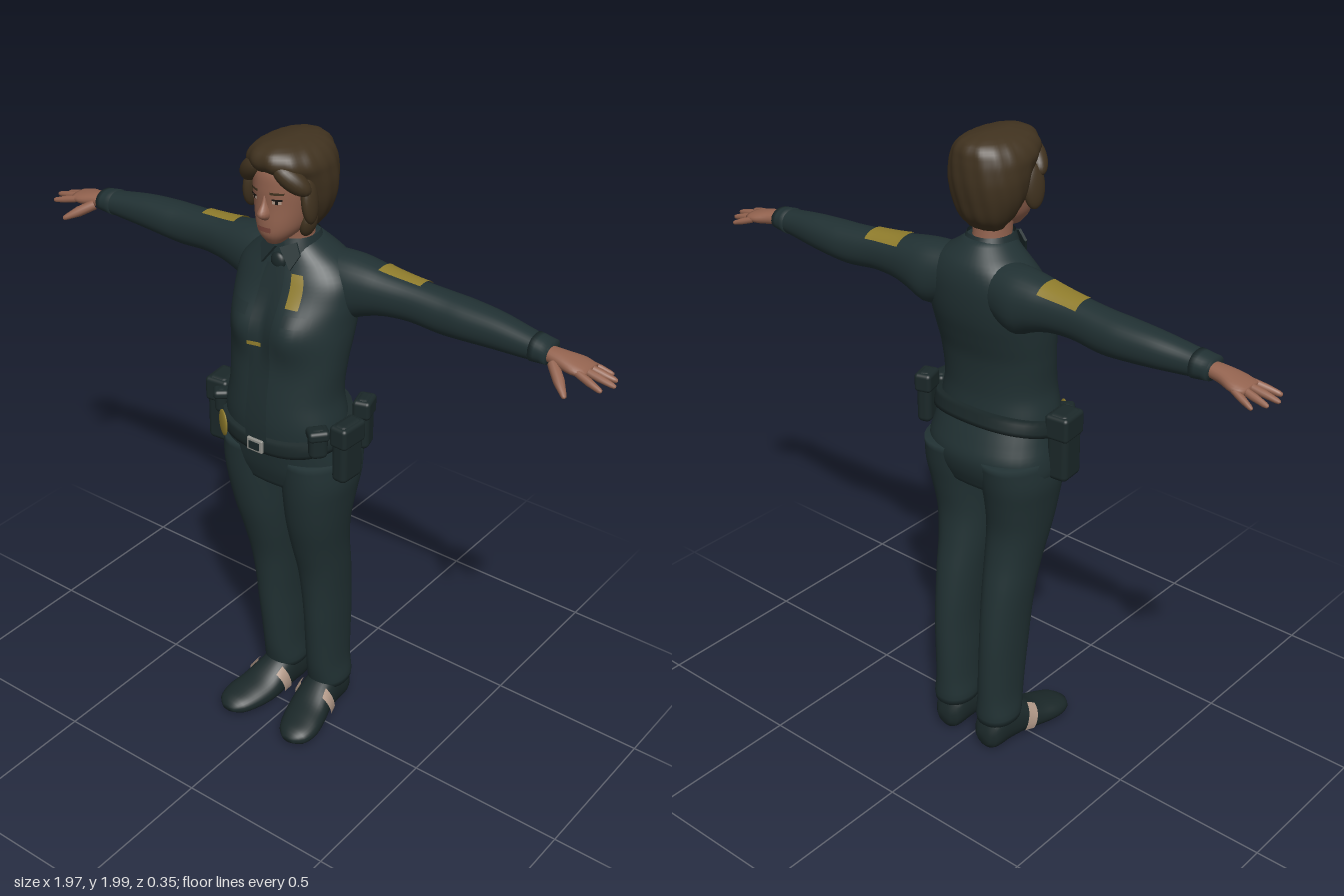
import * as THREE from 'three';
import { mergeGeometries } from 'three/addons/utils/BufferGeometryUtils.js';
import { RoundedBoxGeometry } from 'three/addons/geometries/RoundedBoxGeometry.js';

const mat = (name, color, side = THREE.FrontSide) => {
  const m = new THREE.MeshStandardMaterial({ color, side });
  m.name = name;
  return m;
};
const RAD = Math.PI / 180;

// Smooth (Hermite) value of the section list at t; section = [t, aMin, aMax, bMin, bMax]
function sampleSections(s, t) {
  let i = 0;
  while (i < s.length - 2 && t > s[i + 1][0]) i++;
  const slope = (k, c) => {
    const p = s[Math.max(k - 1, 0)], q = s[Math.min(k + 1, s.length - 1)];
    return (q[c] - p[c]) / (q[0] - p[0]);
  };
  const h = s[i + 1][0] - s[i][0], x = (t - s[i][0]) / h, x2 = x * x, x3 = x2 * x;
  return [1, 2, 3, 4].map((c) => (2 * x3 - 3 * x2 + 1) * s[i][c] + (x3 - 2 * x2 + x) * h * slope(i, c)
    + (3 * x2 - 2 * x3) * s[i + 1][c] + (x3 - x2) * h * slope(i + 1, c));
}

// Skin over rounded sections along an axis; a smaller t or angle range gives a fitted patch
function loft(s, { axis = 'y', t0 = s[0][0], t1 = s[s.length - 1][0], a0 = 0, a1 = 360, off = 0,
  nu = 32, nv = 30, n = 2.2, deform = null } = {}) {
  const closed = a1 - a0 >= 360, cols = closed ? nu : nu + 1, pos = [], idx = [], p = new THREE.Vector3();
  const put = (t, a, b) => {
    if (axis === 'y') p.set(a, t, b);
    else if (axis === 'x') p.set(t, b, a);
    else p.set(b, a, t);
    if (deform) deform(p);
    pos.push(p.x, p.y, p.z);
  };
  const pw = (v) => Math.sign(v) * Math.abs(v) ** (2 / n);
  for (let j = 0; j <= nv; j++) {
    const t = t0 + (t1 - t0) * j / nv, [l, r, d, u] = sampleSections(s, t);
    for (let i = 0; i < cols; i++) {
      const th = (a0 + (a1 - a0) * i / nu) * RAD;
      put(t, (l + r) / 2 + ((r - l) / 2 + off) * pw(Math.cos(th)), (d + u) / 2 + ((u - d) / 2 + off) * pw(Math.sin(th)));
    }
  }
  for (let j = 0; j < nv; j++) for (let i = 0; i < nu; i++) {
    const k = (i + 1) % cols, a = j * cols + i, b = j * cols + k;
    idx.push(a, a + cols, b, a + cols, b + cols, b);
  }
  if (closed) [t0, t1].forEach((t, e) => {
    const [l, r, d, u] = sampleSections(s, t), c = pos.length / 3, base = e * nv * cols;
    put(t, (l + r) / 2, (d + u) / 2);
    for (let i = 0; i < nu; i++) {
      const a = base + i, b = base + (i + 1) % cols;
      idx.push(c, e ? b : a, e ? a : b);
    }
  });
  const g = new THREE.BufferGeometry();
  g.setAttribute('position', new THREE.Float32BufferAttribute(pos, 3));
  g.setIndex(idx);
  g.computeVertexNormals();
  return g;
}

// Copy reflected to the other side, with corner order kept outward
function mirrored(g) {
  const m = g.clone().scale(-1, 1, 1);
  if (!m.index) m.setIndex([...Array(m.attributes.position.count).keys()]);
  const a = m.index.array;
  for (let i = 0; i < a.length; i += 3) [a[i + 1], a[i + 2]] = [a[i + 2], a[i + 1]];
  return m;
}

// Tapered finger with a round tip
function finger(p, q, r0, r1) {
  const a = new THREE.Vector3(...p), d = new THREE.Vector3(...q).sub(a), L = d.length();
  const prof = [[r0, 0], [r0, L * 0.5], [r1, L * 0.88], [r1 * 0.7, L * 0.97], [0, L]];
  return new THREE.LatheGeometry(prof.map((v) => new THREE.Vector2(...v)), 10)
    .applyQuaternion(new THREE.Quaternion().setFromUnitVectors(new THREE.Vector3(0, 1, 0), d.normalize()))
    .translate(a.x, a.y, a.z);
}

const blob = (x, y, z, rx, ry, rz, rotY = 0, rotZ = 0) =>
  new THREE.SphereGeometry(1, 20, 14).scale(rx, ry, rz).rotateZ(rotZ).rotateY(rotY).translate(x, y, z);

const symmetric = (rows) => rows.map(([y, w, d, u]) => [y, -w, w, d, u]);

export function createModel() {
  const root = new THREE.Group();
  const cloth = mat('uniform cloth', 0x213133), leather = mat('dark leather', 0x1b2829);
  const trim = mat('cloth trim', 0x1f2e30, THREE.DoubleSide), gold = mat('gold', 0x8f7c2c, THREE.DoubleSide);
  const skin = mat('skin', 0x93634f), hair = mat('hair', 0x40321f, THREE.DoubleSide);
  const lip = mat('lips', 0x7a463b, THREE.DoubleSide), sock = mat('pale strap', 0xb39a89, THREE.DoubleSide);
  const silver = mat('silver', 0x92928c), eye = mat('eye dark', 0x1a1512, THREE.DoubleSide);
  const add = (name, g, m) => {
    const mesh = new THREE.Mesh(g, m);
    mesh.name = name;
    root.add(mesh);
  };
  const both = (name, g, m) => {
    add(name + 'Left', g, m);
    add(name + 'Right', mirrored(g), m);
  };

  // Shirt, with the chest shaped by a smooth bump
  const torso = symmetric([[1.1, 0.196, -0.125, 0.15], [1.17, 0.192, -0.122, 0.153], [1.25, 0.178, -0.115, 0.146],
    [1.35, 0.184, -0.122, 0.13], [1.42, 0.19, -0.14, 0.118], [1.48, 0.193, -0.156, 0.105], [1.54, 0.195, -0.164, 0.088],
    [1.6, 0.185, -0.164, 0.068], [1.645, 0.145, -0.152, 0.05], [1.675, 0.1, -0.13, 0.042], [1.705, 0.06, -0.1, 0.036]]);
  const chest = (p) => {
    if (p.z > 0) p.z += 0.036 * Math.exp(-((Math.abs(p.x) - 0.085) ** 2) / 0.005 - (p.y - 1.46) ** 2 / 0.006);
  };
  const onShirt = (t0, t1, a0, a1, off) => loft(torso, { t0, t1, a0, a1, off, nu: 8, nv: 24, deform: chest });
  add('shirt', loft(torso, { nu: 48, nv: 50, deform: chest }), cloth);
  add('tie', onShirt(1.12, 1.64, 81, 99, 0.013), trim);
  add('tieKnot', blob(0, 1.647, 0.055, 0.024, 0.026, 0.014), leather);
  add('tieClip', onShirt(1.415, 1.427, 89, 99, 0.018), gold);
  add('chestBadge', onShirt(1.537, 1.625, 63, 75, 0.007), gold);
  both('pocketFlap', onShirt(1.49, 1.52, 48, 74, 0.004), trim);

  // Collar band and its two points
  const collar = symmetric([[1.655, 0.088, -0.125, 0.055], [1.685, 0.075, -0.108, 0.05], [1.715, 0.064, -0.095, 0.042]]);
  add('collar', loft(collar, { a0: 100, a1: 440, nv: 6 }), trim);
  const wing = new THREE.Shape([[0.008, 1.69], [0.055, 1.71], [0.07, 1.675], [0.045, 1.63]].map((v) => new THREE.Vector2(...v)));
  both('collarPoint', new THREE.ExtrudeGeometry(wing, { depth: 0.008, bevelEnabled: false })
    .translate(0, -1.67, 0).rotateX(-0.35).rotateY(0.3).translate(0, 1.67, 0.062), trim);

  // Sleeves with shoulder patches and cuffs
  const arm = [[0.08, -0.15, 0, 1.5, 1.662], [0.16, -0.165, 0, 1.472, 1.662], [0.22, -0.16, -0.01, 1.495, 1.655],
    [0.28, -0.152, -0.022, 1.512, 1.645], [0.36, -0.148, -0.035, 1.518, 1.637], [0.46, -0.155, -0.04, 1.51, 1.63],
    [0.52, -0.157, -0.04, 1.513, 1.627], [0.62, -0.148, -0.045, 1.52, 1.62], [0.72, -0.132, -0.048, 1.528, 1.606],
    [0.79, -0.126, -0.048, 1.537, 1.595]];
  both('sleeve', loft(arm, { axis: 'x', nv: 40 }), cloth);
  both('shoulderPatch', loft(arm, { axis: 'x', t0: 0.255, t1: 0.385, a0: 72, a1: 138, off: 0.004, nu: 10, nv: 8 }), gold);
  both('cuff', loft(arm, { axis: 'x', t0: 0.74, t1: 0.79, off: 0.003, nv: 3 }), cloth);

  // Hands, palms down
  const palm = [[0.76, -0.108, -0.064, 1.545, 1.583], [0.82, -0.118, -0.054, 1.537, 1.58],
    [0.87, -0.136, -0.046, 1.533, 1.57], [0.905, -0.13, -0.054, 1.538, 1.56]];
  both('hand', mergeGeometries([
    finger([0.875, 1.548, -0.126], [0.945, 1.525, -0.147], 0.01, 0.007),
    finger([0.88, 1.55, -0.106], [0.972, 1.529, -0.116], 0.011, 0.008),
    finger([0.88, 1.552, -0.083], [0.985, 1.532, -0.081], 0.011, 0.008),
    finger([0.88, 1.55, -0.06], [0.966, 1.53, -0.04], 0.011, 0.008),
    finger([0.81, 1.55, -0.062], [0.887, 1.504, 0.005], 0.016, 0.009)]), skin);
  both('palm', loft(palm, { axis: 'x', nu: 20, nv: 12 }), skin);

  // Trousers
  add('hips', loft(symmetric([[0.945, 0.19, -0.135, 0.112], [1, 0.213, -0.157, 0.13], [1.05, 0.212, -0.164, 0.14],
    [1.1, 0.203, -0.148, 0.147], [1.16, 0.194, -0.122, 0.15]]), { nv: 16, nu: 40 }), cloth);
  both('trouserLeg', loft([[0.115, 0.026, 0.149, -0.17, -0.024], [0.135, 0.022, 0.152, -0.173, -0.019],
    [0.2, 0.028, 0.145, -0.172, -0.005], [0.3, 0.03, 0.146, -0.172, 0.007], [0.4, 0.032, 0.15, -0.17, 0.018],
    [0.5, 0.028, 0.155, -0.162, 0.028], [0.6, 0.022, 0.163, -0.148, 0.043], [0.7, 0.014, 0.172, -0.13, 0.07],
    [0.8, 0.01, 0.187, -0.122, 0.098], [0.9, 0.007, 0.203, -0.137, 0.117], [0.97, 0.002, 0.213, -0.152, 0.125],
    [1.05, 0, 0.208, -0.164, 0.13]], { nv: 44 }), cloth);

  // Shoes with a pale strap on both sides
  const shoe = [[-0.166, 0.035, 0.085, 0.055, 0.11], [-0.15, 0.014, 0.13, 0.035, 0.13], [-0.08, 0.01, 0.16, 0.03, 0.14],
    [-0.02, 0.012, 0.14, 0.028, 0.152], [0.04, 0.012, 0.105, 0.032, 0.17], [0.1, 0.014, 0.087, 0.048, 0.182],
    [0.15, 0.02, 0.072, 0.072, 0.172], [0.173, 0.033, 0.055, 0.1, 0.145]];
  both('shoe', loft(shoe, { axis: 'z', nv: 28 }), leather);
  const slant = (p) => { p.z += (0.08 - p.y) * -0.3; };
  [[40, 115], [245, 320]].forEach(([a0, a1], i) => both(i ? 'innerStrap' : 'outerStrap',
    loft(shoe, { axis: 'z', t0: -0.03, t1: 0.005, a0, a1, off: 0.006, nu: 8, nv: 4, deform: slant }), sock));

  // Belt, rising towards the back, with buckle and badge
  const tilt = (p) => { p.y += (0.15 - p.z) * 0.26; };
  add('belt', loft(symmetric([[1.08, 0.207, -0.146, 0.16], [1.105, 0.207, -0.141, 0.164], [1.13, 0.2, -0.136, 0.162]]),
    { nv: 4, nu: 40, n: 2.3, deform: tilt }), leather);
  add('buckle', new RoundedBoxGeometry(0.056, 0.042, 0.012, 2, 0.004).translate(0, 1.102, 0.166), silver);
  add('bucklePlate', new THREE.BoxGeometry(0.036, 0.024, 0.006).translate(0, 1.102, 0.172), leather);
  add('beltBadge', blob(-0.135, 1.118, 0.147, 0.033, 0.042, 0.007, -0.55), gold);

  // Belt pouches: position, size and turn
  [['holster', -0.226, 1.095, 0.03, 0.07, 0.215, 0.09, 0.1], ['largePouch', 0.223, 1.1, 0.022, 0.052, 0.19, 0.092, -0.05],
    ['rearPouch', 0.213, 1.148, -0.073, 0.046, 0.165, 0.066, 0.3], ['frontPouch', 0.175, 1.145, 0.1, 0.05, 0.095, 0.055, -0.7],
    ['rightFrontPouch', -0.188, 1.15, 0.09, 0.04, 0.08, 0.04, 0.7]].forEach(([name, x, y, z, w, h, d, turn]) => {
    add(name, new RoundedBoxGeometry(w, h, d, 4, 0.018).rotateY(turn).translate(x, y, z), leather);
    add(name + 'Flap', new RoundedBoxGeometry(w + 0.008, h * 0.36, d + 0.008, 3, 0.012)
      .rotateY(turn).translate(x, y + h * 0.3, z), leather);
  });

  // Head and neck
  const head = symmetric([[1.713, 0.022, 0.04, 0.092], [1.74, 0.05, -0.03, 0.111], [1.77, 0.067, -0.06, 0.115],
    [1.83, 0.079, -0.08, 0.114], [1.88, 0.083, -0.09, 0.116], [1.93, 0.08, -0.09, 0.11], [1.97, 0.05, -0.06, 0.08]]);
  const onFace = (t0, t1, a0, a1, off) => loft(head, { t0, t1, a0, a1, off, nu: 8, nv: 3 });
  add('neck', loft(symmetric([[1.65, 0.062, -0.09, 0.035], [1.7, 0.052, -0.08, 0.035], [1.78, 0.052, -0.075, 0.05]]), { nv: 8 }), skin);
  add('head', loft(head), skin);
  add('nose', loft(symmetric([[1.793, 0.013, 0.08, 0.122], [1.808, 0.018, 0.08, 0.14], [1.84, 0.009, 0.08, 0.124],
    [1.868, 0.006, 0.08, 0.114]]), { nu: 16, nv: 10 }), skin);
  add('lips', onFace(1.757, 1.771, 74, 106, 0.004), lip);
  both('eyeWhite', onFace(1.843, 1.854, 57, 74, 0.002), sock);
  both('iris', onFace(1.842, 1.856, 62.5, 68.5, 0.003), eye);
  both('eyelid', onFace(1.853, 1.858, 55, 75, 0.004), eye);
  both('eyebrow', onFace(1.869, 1.876, 52, 78, 0.003), hair);

  // Short hair with combed ripples, and a fringe swept to both sides
  const comb = (p) => {
    const a = Math.atan2(p.x, p.z + 0.02), k = 1 + 0.014 * Math.sin(a * 15 + p.y * 25);
    p.x *= k;
    p.z = (p.z + 0.02) * k - 0.02;
  };
  add('hair', loft(symmetric([[1.735, 0.055, -0.086, -0.015], [1.77, 0.082, -0.115, 0.025], [1.82, 0.104, -0.13, 0.052],
    [1.87, 0.113, -0.138, 0.07], [1.91, 0.113, -0.139, 0.095], [1.94, 0.11, -0.137, 0.124], [1.97, 0.092, -0.13, 0.124],
    [1.99, 0.062, -0.105, 0.1], [2, 0.02, -0.05, 0.05]]), { nu: 72, nv: 36, deform: comb }), hair);
  both('fringe', blob(0.068, 1.912, 0.082, 0.062, 0.03, 0.03, 0.55, -0.65), hair);
  both('sideLock', blob(0.096, 1.845, 0.04, 0.02, 0.065, 0.036, 0.2, 0.1), hair);
  add('napeLock', blob(0.07, 1.765, 0.01, 0.02, 0.042, 0.03, 0, -0.25), hair);
  return root;
}
